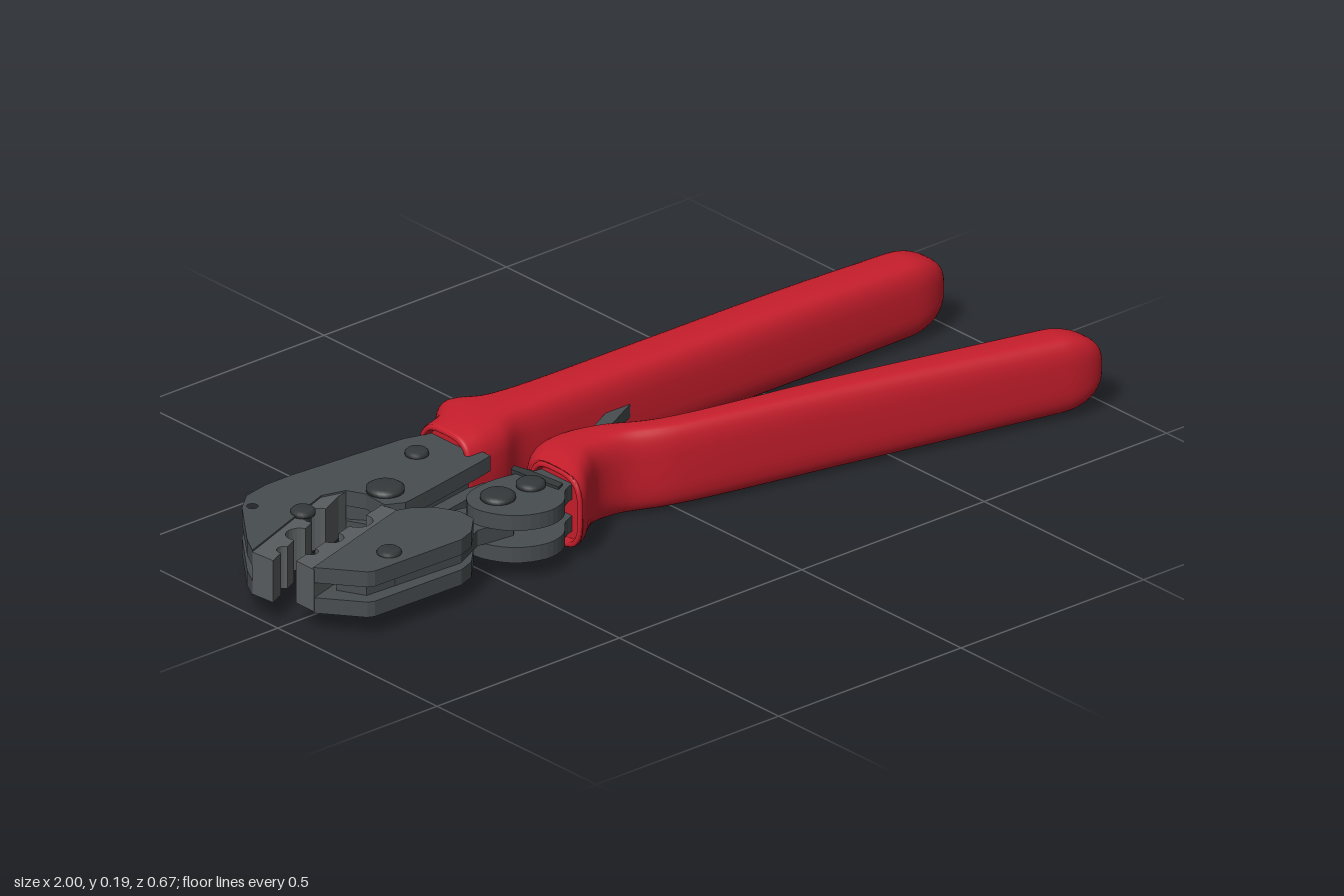
import * as THREE from 'three';

const MID = 0.098; // height of the tool's middle plane
const steel = new THREE.MeshStandardMaterial({ color: 0x484d50 });
const dieSteel = new THREE.MeshStandardMaterial({ color: 0x585c5e });
const pinSteel = new THREE.MeshStandardMaterial({ color: 0x35393b });
const red = new THREE.MeshStandardMaterial({ color: 0xc81e2c });

// Flat plate from a plan outline of [x, z] points, between two heights
function plate(name, pts, y0, y1, material = steel, holes = []) {
  const shape = new THREE.Shape(pts.map(([x, z]) => new THREE.Vector2(x, -z)));
  for (const [x, z, r] of holes) shape.holes.push(new THREE.Path().absarc(x, -z, r, 0, Math.PI * 2, true));
  const geo = new THREE.ExtrudeGeometry(shape, { depth: y1 - y0, bevelEnabled: false, curveSegments: 10 });
  geo.rotateX(-Math.PI / 2).translate(0, y0, 0);
  const mesh = new THREE.Mesh(geo, material);
  mesh.name = name;
  return mesh;
}

// Two equal plates mirrored about the middle plane
function platePair(name, pts, inner, outer, holes) {
  const group = new THREE.Group();
  group.name = name;
  group.add(plate(name + 'Upper', pts, MID + inner, MID + outer, steel, holes));
  group.add(plate(name + 'Lower', pts, MID - outer, MID - inner, steel, holes));
  return group;
}

// Closed smooth outline through a few plan points
function smooth(pts) {
  const curve = new THREE.CatmullRomCurve3(pts.map(([x, z]) => new THREE.Vector3(x, 0, z)), true);
  return curve.getPoints(40).slice(0, -1).map((p) => [p.x, p.z]);
}

// Straight die edge with round nests; side = +1 or -1 picks the way they cut
function dieEdge(a, b, nests, side) {
  const dx = b[0] - a[0], dz = b[1] - a[1], len = Math.hypot(dx, dz);
  const ux = dx / len, uz = dz / len;
  const at = (s, d) => [a[0] + ux * s - uz * d * side, a[1] + uz * s + ux * d * side];
  const pts = [a];
  for (const [t, r] of nests) {
    for (let i = 0; i <= 10; i++) {
      const ang = (Math.PI * i) / 10;
      pts.push(at(t * len - r * Math.cos(ang), r * Math.sin(ang)));
    }
  }
  pts.push(b);
  return pts;
}

// Pin with a stepped round head on both faces
function pin(name, x, z, r, half) {
  const profile = [[0, -half], [r * 0.8, -half], [r, -half + 0.005], [r, -half + 0.014], [r * 0.7, -half + 0.014],
    [r * 0.7, half - 0.014], [r, half - 0.014], [r, half - 0.005], [r * 0.8, half], [0, half]];
  const geo = new THREE.LatheGeometry(profile.map(([px, py]) => new THREE.Vector2(px, py)), 24);
  const mesh = new THREE.Mesh(geo, pinSteel);
  mesh.position.set(x, MID, z);
  mesh.name = name;
  return mesh;
}

// Soft grip lofted through stations [x, zBack, zFront, height], open at the mouth, domed at the end
function grip(name, stations, dome) {
  const sides = new THREE.CatmullRomCurve3(stations.map(([x, a, b]) => new THREE.Vector3(x, a, b)));
  const heights = new THREE.CatmullRomCurve3(stations.map((s, i) => new THREE.Vector3(s[3], i, 0)));
  const rows = [];
  const add = (x, zc, w, h) => rows.push([x, zc, w, h]);
  const [x0, a0, b0, h0] = stations[0];
  const c0 = (a0 + b0) / 2, w0 = b0 - a0;
  // Recessed mouth with a rounded lip
  for (const [dx, s] of [[0.02, 0], [0.02, 0.84], [0.02, 0.86], [0.002, 0.88], [0, 0.9], [0, 0.97], [0.003, 0.99]]) {
    add(x0 + dx, c0, w0 * s, h0 * s);
  }
  const n = 60;
  for (let i = 0; i <= n; i++) {
    const p = sides.getPoint(i / n);
    add(p.x + (i === 0 ? 0.008 : 0), (p.y + p.z) / 2, p.z - p.y, heights.getPoint(i / n).x);
  }
  // Domed end follows the grip's direction
  const [xe, zc, w, h] = rows[rows.length - 1], prev = rows[rows.length - 6];
  const slope = (zc - prev[1]) / (xe - prev[0]);
  for (let i = 1; i <= 12; i++) {
    const a = (Math.PI / 2) * (i / 12), s = Math.pow(Math.max(Math.cos(a), 0), 0.85);
    add(xe + dome * Math.sin(a), zc + slope * dome * Math.sin(a), w * s, h * s);
  }
  const seg = 40, pos = [], idx = [];
  const soft = (v) => Math.sign(v) * Math.pow(Math.abs(v), 0.62);
  rows.forEach(([x, z, ww, hh], i) => {
    for (let j = 0; j < seg; j++) {
      const t = (j / seg) * Math.PI * 2;
      pos.push(x, MID + (hh / 2) * soft(Math.sin(t)), z + (ww / 2) * soft(Math.cos(t)));
      if (i < rows.length - 1) {
        const k = (j + 1) % seg, p = i * seg, q = p + seg;
        idx.push(p + j, q + j, q + k, p + j, q + k, p + k);
      }
    }
  });
  const geo = new THREE.BufferGeometry();
  geo.setAttribute('position', new THREE.Float32BufferAttribute(pos, 3));
  geo.setIndex(idx);
  geo.computeVertexNormals();
  const mesh = new THREE.Mesh(geo, red);
  mesh.name = name;
  return mesh;
}

export function createModel() {
  const model = new THREE.Group();
  model.name = 'crimpingPliers';

  // Fixed jaw: side plates running into the straight grip, with a set-back core
  model.add(platePair('fixedJawPlate', [[-1, -0.08], [-0.975, -0.125], [-0.88, -0.25], [-0.835, -0.287], [-0.77, -0.3],
    [-0.7, -0.3], [-0.41, -0.28], [-0.33, -0.255], [-0.33, -0.1], [-0.37, -0.09], [-0.55, -0.055], [-0.61, -0.045],
    [-0.65, -0.065], [-0.645, -0.13], [-0.665, -0.17], [-0.72, -0.185]], 0.017, 0.052, [[-0.86, -0.24, 0.012]]));
  model.add(plate('fixedJawCore', [[-0.7, -0.27], [-0.33, -0.24], [-0.33, -0.13], [-0.55, -0.09], [-0.63, -0.14],
    [-0.68, -0.2]], MID - 0.018, MID + 0.018));

  // Moving jaw: side plates and the core that reaches the pivot and the link
  model.add(platePair('movingJawPlate', [[-0.96, 0.065], [-0.89, 0.155], [-0.875, 0.162], [-0.64, 0.165], [-0.6, 0.15],
    [-0.555, 0.105], [-0.553, 0.06], [-0.58, 0.01], [-0.62, -0.02], [-0.65, -0.03]], 0.017, 0.052));
  model.add(plate('movingJawCore', [[-0.87, 0.13], [-0.62, 0.14], [-0.54, 0.1], [-0.45, 0.11], [-0.4, 0.06],
    [-0.45, 0.01], [-0.53, -0.01], [-0.56, -0.09], [-0.61, -0.13], [-0.645, -0.11], [-0.65, -0.04], [-0.9, 0.07]],
    MID - 0.018, MID + 0.018));

  // Crimping dies with facing nests
  const upperEdge = dieEdge([-0.995, -0.02], [-0.69, -0.165], [[0.17, 0.016], [0.41, 0.03], [0.7, 0.036]], -1);
  model.add(plate('fixedDie', [...upperEdge, [-0.665, -0.17], [-0.72, -0.188], [-1, -0.08]],
    MID - 0.048, MID + 0.048, dieSteel));
  const lowerEdge = dieEdge([-0.96, 0.012], [-0.65, -0.075], [[0.17, 0.016], [0.42, 0.025], [0.72, 0.032]], 1);
  model.add(plate('movingDie', [...lowerEdge, [-0.64, -0.03], [-0.96, 0.068]], MID - 0.048, MID + 0.048, dieSteel));

  // Toggle link and the root of the moving handle
  model.add(platePair('toggleLink', smooth([[-0.525, 0.07], [-0.495, 0.015], [-0.42, -0.005], [-0.34, 0.005],
    [-0.27, 0.02], [-0.27, 0.1], [-0.325, 0.13], [-0.365, 0.17], [-0.42, 0.183], [-0.49, 0.15]]), 0.019, 0.054));
  model.add(plate('ratchetPawl', [[-0.352, -0.01], [-0.335, -0.02], [-0.325, 0.02], [-0.315, 0.11], [-0.335, 0.12],
    [-0.345, 0.05]], MID - 0.06, MID + 0.06, pinSteel));

  // Ratchet strut between the handles
  model.add(plate('ratchetStrut', [[-0.375, 0.055], [0.1, -0.19], [0.12, -0.165], [-0.36, 0.085]],
    MID - 0.015, MID + 0.015));

  // Pins and bolts
  const pins = [['jawPivot', -0.605, -0.115, 0.04, 0.067], ['frameBolt', -0.44, -0.205, 0.025, 0.064],
    ['fixedDieScrew', -0.8, -0.15, 0.026, 0.062], ['movingDieScrew', -0.795, 0.115, 0.026, 0.062],
    ['linkPin', -0.455, 0.067, 0.037, 0.067], ['handlePin', -0.365, 0.067, 0.031, 0.067]];
  for (const p of pins) model.add(pin(...p));

  // Grips with flared finger guards
  model.add(grip('straightGrip', [[-0.37, -0.282, -0.12, 0.172], [-0.32, -0.294, -0.12, 0.185],
    [-0.265, -0.338, -0.127, 0.194], [-0.2, -0.298, -0.152, 0.194], [-0.12, -0.285, -0.156, 0.192],
    [0.2, -0.283, -0.155, 0.188], [0.6, -0.28, -0.152, 0.186], [0.88, -0.274, -0.15, 0.176]], 0.115));
  model.add(grip('angledGrip', [[-0.315, 0, 0.165, 0.172], [-0.285, -0.035, 0.152, 0.184],
    [-0.245, -0.05, 0.118, 0.194], [-0.19, -0.048, 0.082, 0.194], [-0.12, -0.026, 0.078, 0.192],
    [0, 0.034, 0.122, 0.188], [0.4, 0.115, 0.215, 0.186], [0.88, 0.216, 0.33, 0.176]], 0.108));
  return model;
}
